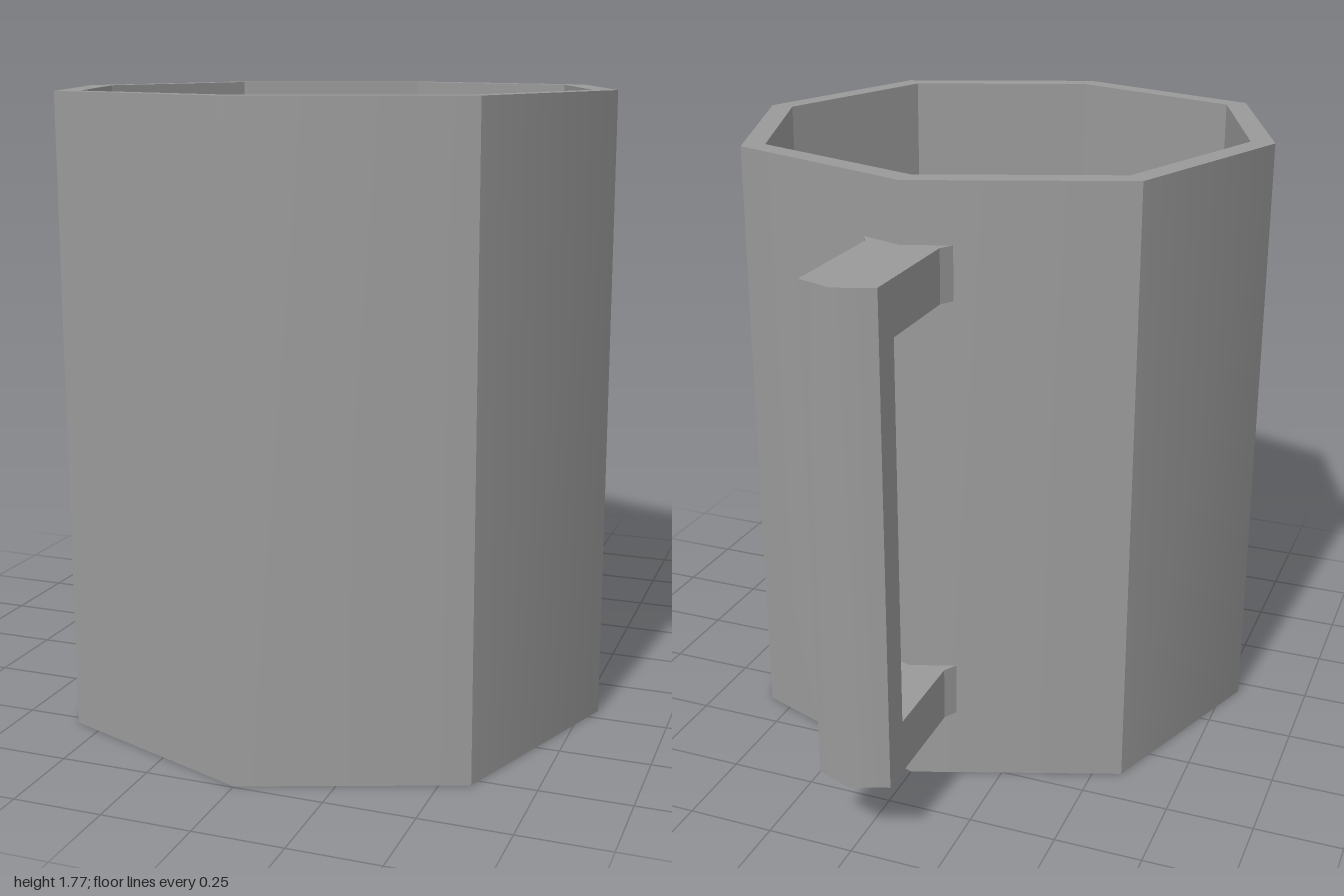
import * as THREE from 'three';
import { toCreasedNormals } from 'three/addons/utils/BufferGeometryUtils.js';

const HEIGHT = 1.77, FLOOR = 0.07, CENTRE_Z = 0.2;
const CREASE = Math.PI / 4;

// Octagon corners [x, z]: c on the axes, d on both coordinates of the diagonals
const octagon = (c, d) => [
  [0, c], [d, d], [c, 0], [d, -d], [0, -c], [-d, -d], [-c, 0], [-d, d],
].map(([x, z]) => [x, z + CENTRE_Z]);

const OUTER = octagon(0.795, 0.58);
const INNER = octagon(0.725, 0.53);

// Plan outline with z pointing down, laid flat by rotating about x
const outline = (pts) => new THREE.Shape(pts.map(([x, z]) => new THREE.Vector2(x, -z)));

// Flat horizontal face, facing up or down
function face(shape, y, up = true) {
  const g = new THREE.ShapeGeometry(shape).rotateX(-Math.PI / 2);
  if (!up) {
    const index = g.index.array;
    for (let i = 0; i < index.length; i += 3) [index[i], index[i + 1]] = [index[i + 1], index[i]];
    g.computeVertexNormals();
  }
  return g.translate(0, y, 0);
}

// Open eight-sided wall following a plan outline
function wall(pts, y0, y1, inward, crease) {
  const pos = [];
  pts.forEach(([ax, az], i) => {
    const [bx, bz] = pts[(i + 1) % pts.length];
    const a = [ax, y0, az], b = [bx, y0, bz], c = [bx, y1, bz], d = [ax, y1, az];
    pos.push(...(inward ? [a, c, b, a, d, c] : [a, b, c, a, c, d]).flat());
  });
  const g = new THREE.BufferGeometry();
  g.setAttribute('position', new THREE.Float32BufferAttribute(pos, 3));
  g.computeVertexNormals();
  return crease ? toCreasedNormals(g, crease) : g;
}

// Solid block raised from a plan outline
function block(pts, y0, y1) {
  return new THREE.ExtrudeGeometry(outline(pts), { depth: y1 - y0, bevelEnabled: false })
    .rotateX(-Math.PI / 2).translate(0, y0, 0);
}

export function createModel() {
  const model = new THREE.Group();
  model.name = 'mug';
  const grey = new THREE.MeshStandardMaterial({ color: 0x999999 });
  grey.name = 'grey';
  const add = (parent, name, geometry) => {
    const mesh = new THREE.Mesh(geometry, grey);
    mesh.name = name;
    parent.add(mesh);
  };

  // Cup body
  const body = new THREE.Group();
  body.name = 'body';
  model.add(body);
  const rim = outline(OUTER);
  rim.holes.push(outline(INNER));
  add(body, 'outerWall', wall(OUTER, 0, HEIGHT, false, CREASE));
  add(body, 'innerWall', wall(INNER, FLOOR, HEIGHT, true));
  add(body, 'rim', face(rim, HEIGHT));
  add(body, 'innerFloor', face(outline(INNER), FLOOR));
  add(body, 'base', face(outline(OUTER), 0, false));

  // Handle: two arms flaring into the wall, joined by a post with a ridged back
  const handle = new THREE.Group();
  handle.name = 'handle';
  model.add(handle);
  const w = 0.105, flare = 0.13;
  const arm = [[-w, -0.875], [w, -0.875], [w, -0.585], [flare, -0.543], [-flare, -0.543], [-w, -0.585]];
  const post = [[-w, -0.875], [-w, -0.96], [0, -1], [w, -0.96], [w, -0.875]];
  add(handle, 'lowerArm', block(arm, 0.205, 0.36));
  add(handle, 'upperArm', block(arm, 1.45, 1.6));
  add(handle, 'post', toCreasedNormals(block(post, 0.205, 1.6), CREASE));

  return model;
}
